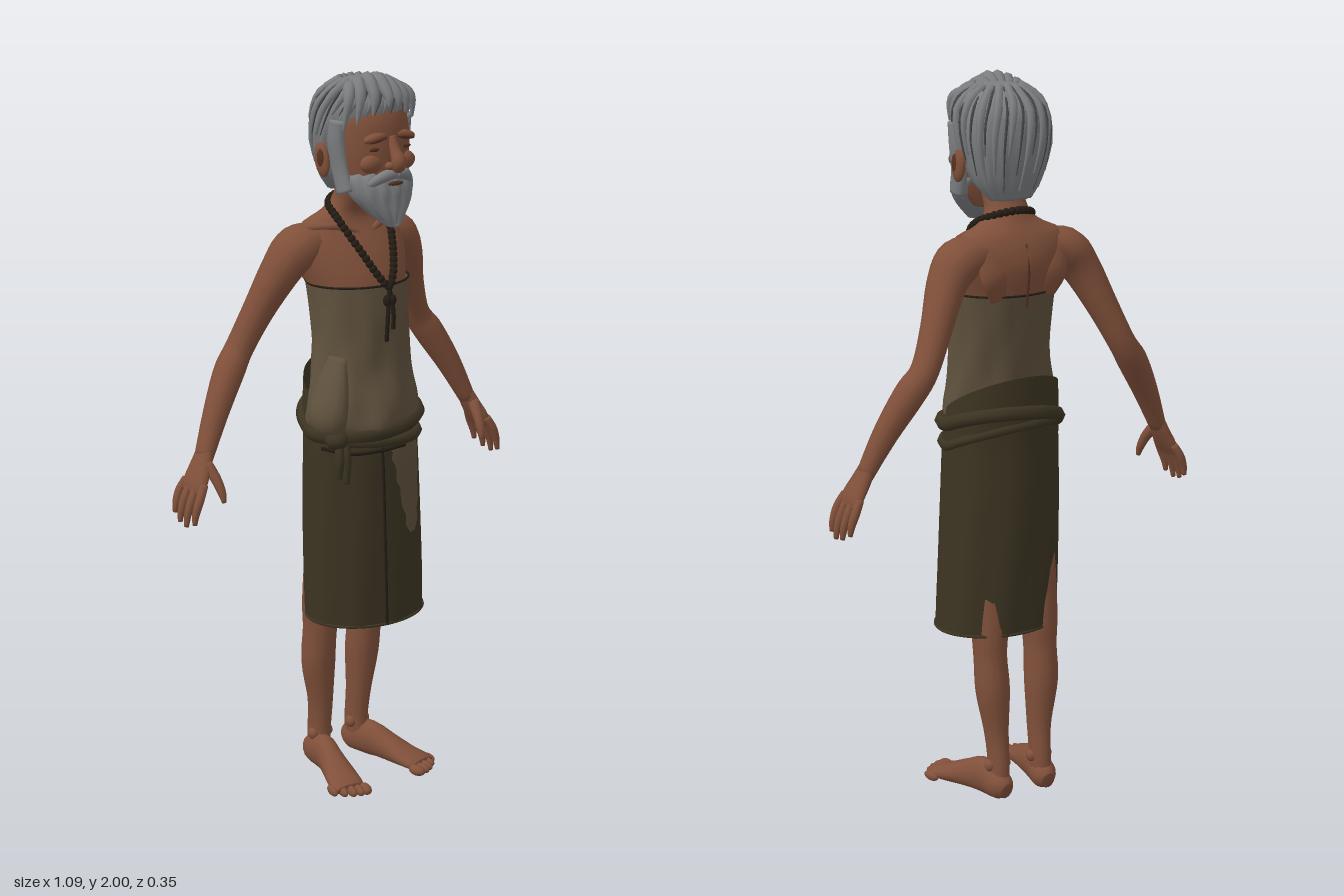
import * as THREE from 'three';

const mat = (name, color, side = THREE.FrontSide) => {
  const m = new THREE.MeshStandardMaterial({ color, side });
  m.name = name;
  return m;
};

// Smooth interpolation through rows of numbers, t in 0..1
function sample(rows, t) {
  const f = Math.min(Math.max(t, 0), 1) * (rows.length - 1);
  const i = Math.min(Math.floor(f), rows.length - 2), k = f - i;
  const row = (n) => rows[Math.min(Math.max(n, 0), rows.length - 1)];
  const [a, b, c, d] = [row(i - 1), row(i), row(i + 1), row(i + 2)];
  return b.map((p, n) => p + 0.5 * k * (c[n] - a[n] + k * (2 * a[n] - 5 * p + 4 * c[n] - d[n] + k * (3 * (p - c[n]) + d[n] - a[n]))));
}

// Skin rings of points; optional wrap around and end caps
function skin(rings, closed = true, caps = true) {
  const n = rings[0].length, pos = [], idx = [];
  rings.forEach((r) => r.forEach((p) => pos.push(p.x, p.y, p.z)));
  for (let i = 0; i < rings.length - 1; i++)
    for (let j = 0; j < (closed ? n : n - 1); j++) {
      const a = i * n + j, b = i * n + (j + 1) % n;
      idx.push(a, a + n, b, b, a + n, b + n);
    }
  if (caps) [0, rings.length - 1].forEach((i, end) => {
    const c = new THREE.Vector3();
    rings[i].forEach((p) => c.addScaledVector(p, 1 / n));
    const k = pos.length / 3;
    pos.push(c.x, c.y, c.z);
    for (let j = 0; j < n; j++) {
      const a = i * n + j, b = i * n + (j + 1) % n;
      idx.push(...(end ? [a, k, b] : [a, b, k]));
    }
  });
  const g = new THREE.BufferGeometry();
  g.setAttribute('position', new THREE.Float32BufferAttribute(pos, 3));
  g.setIndex(idx);
  g.computeVertexNormals();
  return g;
}

// Point on a body of horizontal ovals, rows [y, cx, cz, rx, rz, tilt]
function bodyPoint(rows, t, a, grow = 0, fold = () => 0) {
  const [y, cx, cz, rx, rz, tilt = 0] = sample(rows, t), e = grow + fold(a, t);
  const z = cz + (rz + e) * Math.sin(a);
  return new THREE.Vector3(cx + (rx + e) * Math.cos(a), y - tilt * z, z);
}
function body(rows, caps = true, fold, nv = 28, nu = 48) {
  return skin(Array.from({ length: nv + 1 }, (_, i) =>
    Array.from({ length: nu }, (_, j) => bodyPoint(rows, i / nv, j / nu * Math.PI * 2, 0, fold))), true, caps);
}

// Tapered limb through [x, y, z, radiusAcross, radiusAlongRef]
function limb(rows, ref = [0, 0, 1], nv = 16, nu = 14) {
  const at = (t) => new THREE.Vector3(...sample(rows, t).slice(0, 3));
  return skin(Array.from({ length: nv + 1 }, (_, i) => {
    const t = i / nv, c = at(t), s = sample(rows, t);
    const T = at(t + 0.01).sub(at(t - 0.01)).normalize();
    const v = new THREE.Vector3(...ref);
    v.addScaledVector(T, -v.dot(T)).normalize();
    const u = T.clone().cross(v);
    return Array.from({ length: nu }, (_, j) => {
      const a = j / nu * Math.PI * 2;
      return c.clone().addScaledVector(u, Math.cos(a) * s[3]).addScaledVector(v, Math.sin(a) * s[4]);
    });
  }));
}

export function createModel() {
  const root = new THREE.Group();
  root.name = 'oldMan';
  const skinMat = mat('skin', 0x80503a), crease = mat('skinCrease', 0x553222);
  const hairMat = mat('greyHair', 0x7c7e80), streak = mat('hairStreak', 0x45474a);
  const cloth = mat('tunicCloth', 0x5f513d, THREE.DoubleSide), wrap = mat('wrapCloth', 0x3c3422, THREE.DoubleSide);
  const dark = mat('darkCord', 0x231c14);
  const add = (name, geo, m, parent = root) => {
    const mesh = new THREE.Mesh(geo, m);
    mesh.name = name;
    parent.add(mesh);
    return mesh;
  };
  const ball = (name, p, r, m, parent = root) => {
    const b = add(name, new THREE.SphereGeometry(1, 16, 12), m, parent);
    b.position.set(...p);
    b.scale.set(...r);
    return b;
  };
  const tube = (name, pts, r, m, closed = false) => add(name, new THREE.TubeGeometry(
    new THREE.CatmullRomCurve3(pts.map((p) => (p.isVector3 ? p : new THREE.Vector3(...p))), closed), pts.length * 6, r, 7, closed), m);

  // Torso and neck
  add('torso', body([[1.25, 0, -0.01, 0.12, 0.09], [1.35, 0, -0.012, 0.13, 0.105], [1.43, 0, -0.02, 0.145, 0.115],
    [1.5, 0, -0.04, 0.165, 0.108], [1.55, 0, -0.052, 0.17, 0.09], [1.59, 0, -0.057, 0.15, 0.068],
    [1.62, 0, -0.05, 0.09, 0.054], [1.65, 0, -0.035, 0.062, 0.052], [1.7, 0, -0.012, 0.058, 0.052], [1.76, 0, 0, 0.058, 0.052]]), skinMat);
  tube('spineLine', [[0, 1.4, -0.134], [0, 1.5, -0.147], [0, 1.57, -0.133]], 0.004, crease);

  // Head
  const head = new THREE.Group();
  head.name = 'head';
  root.add(head);
  add('face', body([[1.65, 0, 0.045, 0.05, 0.04], [1.7, 0, 0.055, 0.085, 0.07], [1.76, 0, 0.05, 0.1, 0.083],
    [1.82, 0, 0.045, 0.106, 0.088], [1.88, 0, 0.04, 0.102, 0.085], [1.93, 0, 0.03, 0.08, 0.07]]), skinMat, head);
  add('nose', limb([[0, 1.835, 0.125, 0.012, 0.012], [0, 1.8, 0.143, 0.015, 0.014], [0, 1.772, 0.158, 0.021, 0.02],
    [0, 1.752, 0.148, 0.016, 0.014]]), skinMat, head);
  const hairRows = [[1.68, 0, -0.055, 0.06, 0.03], [1.73, 0, -0.04, 0.1, 0.065], [1.8, 0, -0.03, 0.121, 0.09],
    [1.865, 0, -0.01, 0.131, 0.113], [1.92, 0, 0.003, 0.12, 0.116], [1.96, 0, 0.01, 0.09, 0.085], [1.978, 0, 0.01, 0.04, 0.04]];
  add('hair', body(hairRows, true, (a, t) => 0.003 * Math.sin(a * 17 + t * 5)), hairMat, head);
  const beardRows = [[1.6, 0, 0.135, 0.012, 0.014], [1.63, 0, 0.112, 0.048, 0.042], [1.67, 0, 0.088, 0.084, 0.064],
    [1.7, 0, 0.076, 0.097, 0.073], [1.728, 0, 0.06, 0.101, 0.08], [1.745, 0, 0.055, 0.09, 0.076]];
  add('beard', body(beardRows, true, (a, t) => 0.003 * Math.sin(a * 15 + t * 6)), hairMat, head);
  ball('lip', [0, 1.716, 0.145], [0.025, 0.006, 0.007], crease, head);
  for (const s of [-1, 1]) {
    add('moustache', limb([[0, 1.742, 0.145, 0.013, 0.013], [s * 0.035, 1.737, 0.141, 0.015, 0.014],
      [s * 0.07, 1.712, 0.115, 0.009, 0.009]]), hairMat, head);
    add('sideburn', limb([[s * 0.093, 1.69, 0.055, 0.022, 0.03], [s * 0.102, 1.75, 0.04, 0.016, 0.03],
      [s * 0.11, 1.82, 0.035, 0.018, 0.03], [s * 0.112, 1.88, 0.04, 0.016, 0.03]]), hairMat, head);
    ball('cheek', [s * 0.055, 1.768, 0.112], [0.034, 0.025, 0.022], skinMat, head);
    ball('nostril', [s * 0.019, 1.763, 0.143], [0.013, 0.011, 0.014], skinMat, head);
    ball('browRidge', [s * 0.045, 1.836, 0.118], [0.04, 0.014, 0.017], skinMat, head).rotation.z = s * -0.15;
    ball('brow', [s * 0.047, 1.831, 0.13], [0.03, 0.005, 0.006], crease, head).rotation.z = s * -0.15;
    ball('closedEye', [s * 0.046, 1.806, 0.122], [0.024, 0.006, 0.005], crease, head);
    ball('ear', [s * 0.127, 1.772, -0.003], [0.013, 0.046, 0.028], skinMat, head).rotation.x = -0.2;
    ball('earHollow', [s * 0.137, 1.778, 0.002], [0.005, 0.024, 0.013], crease, head);
  }
  // Locks combed from the crown and dark streaks between them
  for (let i = 0; i < 34; i++) {
    const a = i / 34 * Math.PI * 2, front = Math.sin(a) > 0.45, odd = i % 2;
    const end = front ? 0.58 : Math.sin(a) > 0 ? 0.42 : 0.1 + 0.12 * (i % 3);
    const rows = [0, 0.33, 0.67, 1].map((k) => {
      const t = 0.93 + (end - 0.93) * k, r = (odd ? 0.0045 : 0.013) * (1 - 0.75 * k * k);
      return [...bodyPoint(hairRows, t, a + 0.25 * k, odd ? 0.003 : 0), r, r];
    });
    add(odd ? 'hairStreak' : 'hairLock', limb(rows, [0.3, 0.2, 0.9], 9, 6), odd ? streak : hairMat, head);
  }
  // Tousled fringe
  for (const [x, lift, drop] of [[-0.105, 0.0, 1.86], [-0.075, 0.012, 1.875], [-0.04, 0.02, 1.895], [-0.005, 0.02, 1.915],
    [0.035, 0.01, 1.91], [0.07, 0, 1.89], [0.1, -0.01, 1.875]])
    add('fringeTuft', limb([[x * 0.4 - 0.01, 1.955, 0.03, 0.016, 0.016], [x * 0.75 - 0.01, 1.962 + lift, 0.085 - Math.abs(x) * 0.2, 0.02, 0.018],
      [x - 0.01, 1.935 + lift * 0.5, 0.135 - Math.abs(x) * 0.4, 0.014, 0.014], [x * 1.12 - 0.015, drop, 0.145 - Math.abs(x) * 0.5, 0.003, 0.003]],
    [1, 0, 0.2], 12, 8), hairMat, head);

  // Arms, hands, legs and feet
  for (const s of [-1, 1]) {
    const side = s > 0 ? 'left' : 'right', m = (rows) => rows.map(([x, ...r]) => [s * x, ...r]);
    add(side + 'Arm', limb(m([[0.1, 1.55, -0.06, 0.045, 0.06], [0.165, 1.53, -0.065, 0.06, 0.07], [0.21, 1.475, -0.078, 0.052, 0.06],
      [0.26, 1.37, -0.11, 0.042, 0.046], [0.308, 1.27, -0.132, 0.037, 0.042], [0.35, 1.21, -0.125, 0.041, 0.044],
      [0.41, 1.11, -0.105, 0.034, 0.036], [0.465, 1.0, -0.087, 0.022, 0.03]]), [0, 0, 1], 30), skinMat);
    add(side + 'Collarbone', limb(m([[0.02, 1.565, 0.015, 0.01, 0.01], [0.08, 1.588, 0.0, 0.011, 0.011], [0.15, 1.585, -0.04, 0.01, 0.01]])), skinMat);
    add(side + 'ShoulderBlade', limb(m([[0.07, 1.43, -0.115, 0.03, 0.012], [0.09, 1.49, -0.126, 0.042, 0.016], [0.11, 1.55, -0.11, 0.03, 0.012]])), skinMat);
    const hand = new THREE.Group();
    hand.name = side + 'Hand';
    root.add(hand);
    add('palm', limb(m([[0.455, 1.025, -0.09, 0.02, 0.028], [0.475, 0.985, -0.085, 0.021, 0.038],
      [0.497, 0.945, -0.08, 0.019, 0.048], [0.508, 0.918, -0.08, 0.013, 0.044]])), skinMat, hand);
    for (let f = 0; f < 4; f++) {
      const z = -0.12 + f * 0.027, l = [0.8, 0.95, 1, 0.9][f], sp = (f - 1.5) * 0.005;
      add('finger', limb(m([[0.498, 0.945, z, 0.011, 0.012], [0.498 + 0.022 * l, 0.945 - 0.04 * l, z + sp, 0.012, 0.013],
        [0.498 + 0.037 * l, 0.945 - 0.08 * l, z + sp, 0.01, 0.011], [0.498 + 0.042 * l, 0.945 - 0.113 * l, z + sp, 0.006, 0.007]]), [0, 0, 1], 10, 9), skinMat, hand);
    }
    add('thumb', limb(m([[0.47, 0.99, -0.065, 0.016, 0.018], [0.462, 0.955, -0.035, 0.014, 0.015],
      [0.457, 0.92, -0.016, 0.011, 0.012], [0.456, 0.895, -0.008, 0.006, 0.006]]), [0, 0, 1], 10, 9), skinMat, hand);
    add(side + 'Leg', limb(m([[0.07, 0.04, -0.105, 0.028, 0.042], [0.068, 0.11, -0.105, 0.028, 0.04], [0.07, 0.2, -0.097, 0.033, 0.041],
      [0.079, 0.32, -0.093, 0.047, 0.051], [0.081, 0.42, -0.083, 0.045, 0.053], [0.08, 0.52, -0.075, 0.052, 0.06],
      [0.08, 0.75, -0.03, 0.065, 0.075]]), [0, 0, 1], 26), skinMat);
    add(side + 'Foot', limb(m([[0.068, 0.034, -0.152, 0.018, 0.024], [0.071, 0.043, -0.125, 0.035, 0.042], [0.083, 0.053, -0.06, 0.034, 0.053],
      [0.099, 0.042, 0, 0.038, 0.041], [0.117, 0.028, 0.06, 0.047, 0.027], [0.129, 0.021, 0.1, 0.049, 0.02], [0.132, 0.018, 0.118, 0.042, 0.014]]), [0, 1, 0], 20), skinMat);
    for (const e of [-1, 1]) ball('ankleBone', [s * (0.068 + e * 0.025), 0.1, -0.1], [0.014, 0.018, 0.018], skinMat);
    for (let t = 0; t < 5; t++)
      ball('toe', [s * (0.095 + t * 0.0195), 0.015, 0.137 - 0.003 * t * t], [t ? 0.011 : 0.016, t ? 0.014 : 0.015, 0.027], skinMat).rotation.y = s * 0.22;
  }

  // Tunic bloused over the waist
  const tunicRows = [[1.03, -0.01, 0.02, 0.15, 0.115], [1.06, -0.016, 0.026, 0.166, 0.128], [1.12, -0.012, 0.022, 0.162, 0.122],
    [1.2, -0.006, 0.008, 0.15, 0.112], [1.28, 0, 0, 0.143, 0.113], [1.36, 0.002, -0.008, 0.144, 0.118], [1.435, 0.003, -0.018, 0.149, 0.121]];
  add('tunic', body(tunicRows, false, (a, t) => 0.005 * (1 - t) * Math.sin(a * 7 + t * 9) + 0.002 * Math.sin(a * 12 - t * 4)), cloth);
  add('tunicBulge', limb([[-0.125, 1.25, 0.05, 0.015, 0.04], [-0.145, 1.16, 0.055, 0.035, 0.06], [-0.158, 1.09, 0.055, 0.046, 0.066],
    [-0.145, 1.045, 0.05, 0.03, 0.05]]), cloth);
  const ringAt = (rows, t) => Array.from({ length: 20 }, (_, i) => bodyPoint(rows, t, i / 20 * Math.PI * 2));
  tube('tunicHem', ringAt(tunicRows, 1), 0.003, dark, true);

  // Wrapped skirt, with a paler panel and an overlap seam
  const skirtRows = [[0.49, 0.014, 0, 0.176, 0.141, 0], [0.6, 0.01, 0, 0.176, 0.143, 0], [0.75, 0.004, 0, 0.173, 0.144, 0],
    [0.88, 0, 0, 0.17, 0.142, 0], [1, -0.003, 0.002, 0.167, 0.137, 0.15], [1.08, -0.004, -0.002, 0.165, 0.134, 0.4],
    [1.13, -0.004, -0.006, 0.16, 0.129, 0.6]];
  const folds = (a, t) => 0.003 * Math.sin(a * 9 + t * 3) * (1 - t);
  add('skirt', body(skirtRows, false, folds), wrap);
  add('skirtPanel', skin(Array.from({ length: 13 }, (_, i) => {
    const k = i / 12, mid = 1.24 - 0.08 * (1 - k), half = 0.08 + 0.32 * Math.sqrt(k) + 0.03 * Math.sin(i * 2.3);
    return Array.from({ length: 11 }, (_, j) => bodyPoint(skirtRows, 0.32 + 0.42 * k, mid - half + j / 10 * 2 * half, 0.004, folds));
  }), false, false), cloth);
  tube('skirtSeam', [0, 0.2, 0.4, 0.6, 0.72].map((t) => bodyPoint(skirtRows, t, 1.76, 0.001, folds)), 0.004, dark);
  tube('skirtHem', ringAt(skirtRows, 0), 0.004, wrap, true);

  // Rolled waistband, side knot and hanging ends
  [[1.055, 0.022, 0.1], [1.02, 0.015, -0.06]].forEach(([y, r, slant]) => tube('waistRoll', Array.from({ length: 20 }, (_, i) => {
    const a = i / 20 * Math.PI * 2, x = 0.164 * Math.cos(a), z = 0.135 * Math.sin(a);
    return [x - 0.006, y + slant * x - 0.42 * z * (z < 0 ? 1 : 0.1), z + 0.007];
  }), r, wrap, true));
  tube('waistCord', [[-0.176, 1.005, 0.05], [-0.13, 0.995, 0.115], [-0.05, 0.998, 0.15], [0.03, 1.0, 0.152]], 0.005, dark);
  ball('waistKnot', [-0.155, 1.035, 0.09], [0.032, 0.028, 0.034], wrap);
  for (const d of [0, 1]) add('knotEnd', limb([[-0.155 + d * 0.02, 1.03, 0.1, 0.01, 0.012], [-0.16 + d * 0.025, 0.98, 0.108, 0.012, 0.014],
    [-0.157 + d * 0.025, 0.93 - d * 0.02, 0.104, 0.007, 0.008]]), wrap);

  // Bead necklace and its hanging strands
  const loop = new THREE.CatmullRomCurve3([[0, 1.655, -0.093], [0.062, 1.64, -0.06], [0.08, 1.605, 0.008], [0.055, 1.53, 0.068], [0.022, 1.46, 0.108],
    [0, 1.435, 0.118], [-0.022, 1.46, 0.108], [-0.055, 1.53, 0.068], [-0.08, 1.605, 0.008], [-0.062, 1.64, -0.06]].map((p) => new THREE.Vector3(...p)), true);
  add('necklaceCord', new THREE.TubeGeometry(loop, 80, 0.006, 6, true), dark);
  loop.getSpacedPoints(46).slice(1).forEach((p) => ball('bead', p.toArray(), [0.011, 0.011, 0.011], dark));
  for (const x of [-0.012, 0.006]) {
    tube('necklaceStrand', [[0, 1.435, 0.12], [x, 1.37, 0.13], [x * 1.3, x < 0 ? 1.29 : 1.32, 0.128]], 0.006, dark);
    ball('strandBead', [x, 1.4, 0.126], [0.011, 0.016, 0.011], dark);
  }
  return root;
}
